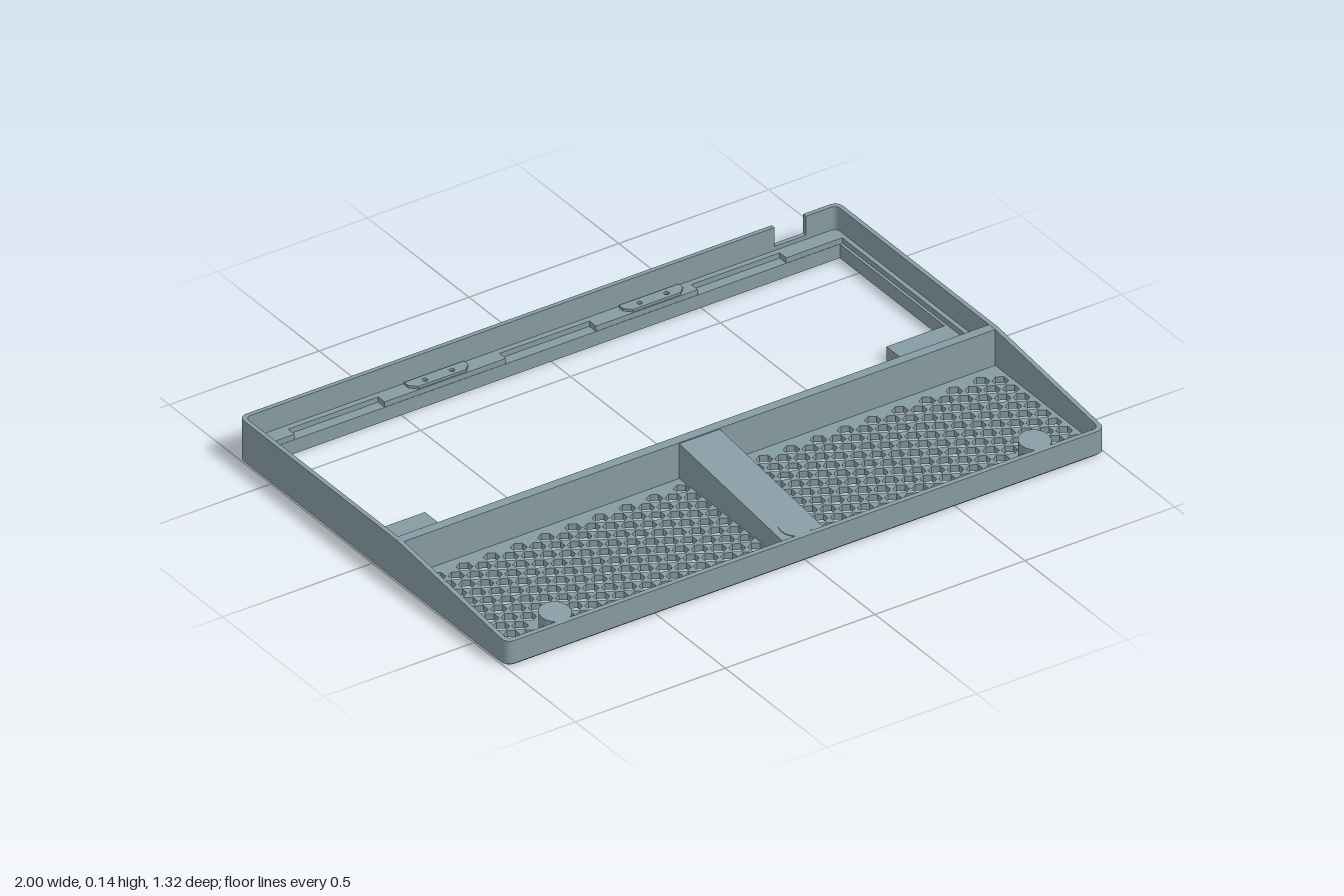
import * as THREE from 'three';

const W = 1, D = 0.66, T = 0.014, R = 0.03;
const BREAK = 0.13, HIGH = 0.137, LOW = 0.08;

// Height of the rim: flat at the rear, sloping down to the front
const rimHeight = (z) => z <= BREAK ? HIGH : HIGH - (z - BREAK) / (D - BREAK) * (HIGH - LOW);

// Closed plan outline from [x, z, cornerRadius] points
function outline(points, path = new THREE.Shape()) {
  const n = points.length;
  points.forEach(([x, z, r = 0], i) => {
    const p = new THREE.Vector2(x, z);
    const toward = (q) => p.clone().add(new THREE.Vector2(q[0], q[1]).sub(p).setLength(r));
    const a = r ? toward(points[(i + n - 1) % n]) : p;
    if (i === 0) path.moveTo(a.x, a.y); else path.lineTo(a.x, a.y);
    if (r) {
      const b = toward(points[(i + 1) % n]);
      path.quadraticCurveTo(x, z, b.x, b.y);
    }
  });
  path.closePath();
  return path;
}

const rect = (x0, x1, z0, z1, r = 0) => [[x0, z0, r], [x1, z0, r], [x1, z1, r], [x0, z1, r]];
const disc = (x, z, r, path = new THREE.Shape()) => path.absarc(x, z, r, 0, Math.PI * 2);

export function createModel() {
  const model = new THREE.Group();
  const casing = new THREE.MeshStandardMaterial({ color: 0x869ba3 });
  casing.name = 'blueGrey';

  // Raises a plan shape from y0 to y1; with slopeOffset set, its top follows the rim
  function slab(name, shape, y0, y1, slopeOffset = null) {
    const g = new THREE.ExtrudeGeometry(shape, { depth: y1 - y0, bevelEnabled: false, curveSegments: 8 });
    g.rotateX(Math.PI / 2).translate(0, y1, 0);
    if (slopeOffset !== null) {
      const p = g.attributes.position;
      for (let i = 0; i < p.count; i++) {
        if (p.getY(i) > (y0 + y1) / 2) p.setY(i, rimHeight(p.getZ(i)) + slopeOffset);
      }
      g.computeVertexNormals();
    }
    const mesh = new THREE.Mesh(g, casing);
    mesh.name = name;
    model.add(mesh);
  }

  // Opening in the rear bay, with a pad left in each front corner
  const opening = [[-0.963, -0.595], [0.963, -0.595], [0.963, -0.08], [0.77, -0.08],
    [0.77, 0.045], [-0.77, 0.045], [-0.77, -0.08], [-0.963, -0.08]];

  // Floor with the opening and two hexagonal grilles
  const floor = outline(rect(-W + 0.006, W - 0.006, -D + 0.006, D - 0.006, R));
  floor.holes.push(outline(opening, new THREE.Path()));
  const bosses = [-0.8, 0, 0.8];
  const bossZ = 0.605;
  for (const side of [-1, 1]) {
    for (let col = 0; col < 20; col++) {
      const odd = col % 2;
      for (let row = 0; row < 8 + odd; row++) {
        const x = side * (0.953 - col * 0.0453);
        const z = 0.184 + (row + (odd ? 0 : 0.5)) * 0.0523;
        if (bosses.some((b) => Math.hypot(x - b, z - bossZ) < 0.065)) continue;
        const hex = [];
        for (let k = 0; k < 6; k++) {
          const a = (k + 0.5) * Math.PI / 3;
          hex.push([x + 0.0235 * Math.cos(a), z + 0.0235 * Math.sin(a)]);
        }
        floor.holes.push(outline(hex, new THREE.Path()));
      }
    }
  }
  slab('perforatedFloor', floor, 0, 0.02);

  // Outer walls: sloped front, flat rear with a cable notch
  const iw = W - T, id = D - T;
  slab('frontWalls', outline([[-W, BREAK], [-W, D, R], [W, D, R], [W, BREAK],
    [iw, BREAK], [iw, id, 0.02], [-iw, id, 0.02], [-iw, BREAK]]), 0.006, HIGH, 0);
  const n0 = 0.78, n1 = 0.885;
  slab('rearLeftWalls', outline([[W, BREAK], [W, -D, R], [n1, -D], [n1, -id],
    [iw, -id, 0.02], [iw, BREAK]]), 0.006, HIGH);
  slab('rearRightWalls', outline([[-W, BREAK], [-W, -D, R], [n0, -D], [n0, -id],
    [-iw, -id, 0.02], [-iw, BREAK]]), 0.006, HIGH);
  slab('notchSill', outline(rect(n0, n1, -D, -id)), 0.006, 0.075);

  // Wall between the two bays
  slab('divider', outline(rect(-iw - 0.002, iw + 0.002, 0.105, 0.136)), 0.01, HIGH - 0.0005);

  // Lower shelf around the opening
  const shelf = outline(rect(-iw - 0.002, iw + 0.002, -id - 0.002, 0.11));
  shelf.holes.push(outline(opening, new THREE.Path()));
  slab('shelf', shelf, 0.015, 0.045);

  // Upper shelf with shallow pockets along its front and rear edges
  const pockets = [[-0.855, -0.555], [-0.15, 0.15], [0.49, 0.785]];
  const edge = [[-0.972, -0.596]];
  for (const [a, b] of pockets) edge.push([a, -0.596], [a, -0.628], [b, -0.628], [b, -0.596]);
  edge.push([0.972, -0.596], [0.972, 0.058]);
  for (const [a, b] of [...pockets].reverse()) edge.push([b, 0.058], [b, 0.098], [a, 0.098], [a, 0.058]);
  edge.push([-0.972, 0.058]);
  const upper = outline(rect(-iw - 0.002, iw + 0.002, -id - 0.002, 0.11));
  upper.holes.push(outline(edge, new THREE.Path()));
  slab('upperShelf', upper, 0.04, 0.062);

  // Screw brackets on both shelves
  for (const x of [-0.36, 0.356]) {
    for (const [zWall, dir] of [[-0.64, 1], [0.102, -1]]) {
      const bracket = outline([[x - 0.1, zWall], [x + 0.1, zWall], [x + 0.1, zWall + dir * 0.02],
        [x + 0.08, zWall + dir * 0.04], [x - 0.08, zWall + dir * 0.04], [x - 0.1, zWall + dir * 0.02]]);
      for (const s of [-1, 1]) {
        bracket.holes.push(disc(x + s * 0.045, zWall + dir * 0.021, 0.008, new THREE.Path()));
      }
      slab('screwBracket', bracket, 0.055, 0.07);
    }
  }

  // Centre rib, round bosses and their stems to the front wall
  slab('centreRib', outline(rect(-0.068, 0.068, 0.132, id + 0.002)), 0.01, HIGH, -0.003);
  for (const x of bosses) {
    slab('boss', disc(x, bossZ, 0.047), 0.01, HIGH, -0.001);
    if (x) slab('bossStem', outline(rect(x - 0.05, x + 0.05, 0.615, id + 0.002)), 0.01, 0.06);
  }

  // Corner gussets in the front bay
  for (const s of [-1, 1]) {
    slab('cornerGusset', outline([[s * (iw + 0.002), id + 0.002], [s * (iw + 0.002), id - 0.035],
      [s * (iw - 0.035), id + 0.002]]), 0.01, 0.06);
  }

  return model;
}
